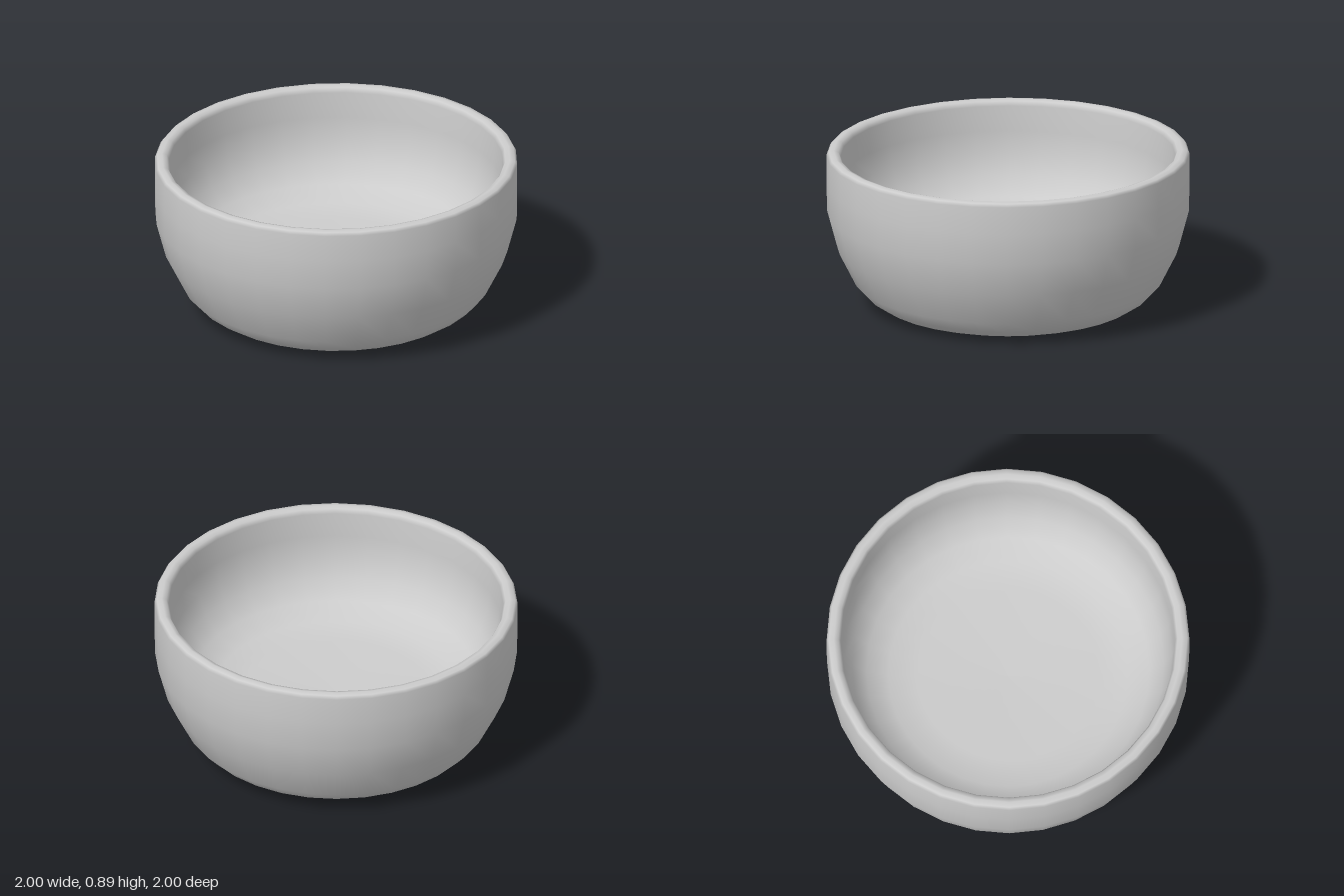
import * as THREE from 'three';

export function createModel() {
  const group = new THREE.Group();

  // Closed profile: hollow underside, outer wall, rounded rim, inner wall, dished floor
  const profile = [
    [0, 0.05], [0.4, 0.045], [0.55, 0.03], [0.63, 0], [0.72, 0.03], [0.79, 0.075], [0.85, 0.14], [0.945, 0.33],
    [0.998, 0.53], [1, 0.7], [1, 0.855],
    [0.988, 0.872], [0.96, 0.878], [0.935, 0.87], [0.922, 0.845],
    [0.918, 0.7], [0.903, 0.58], [0.86, 0.46], [0.78, 0.36], [0.66, 0.3], [0.5, 0.275], [0, 0.26],
  ].map(([r, y]) => new THREE.Vector2(r, y));
  const geometry = new THREE.LatheGeometry(profile, 32);

  // Hand-made rim: slightly lower at the front than at the back
  const pos = geometry.attributes.position;
  for (let i = 0; i < pos.count; i++) {
    const y = pos.getY(i);
    if (y > 0.5) pos.setY(i, y - 0.009 * pos.getZ(i) * (y - 0.5) / 0.38);
  }

  const bowl = new THREE.Mesh(geometry, new THREE.MeshStandardMaterial({ color: 0xcccccc }));
  bowl.name = 'bowl';
  group.add(bowl);
  return group;
}
